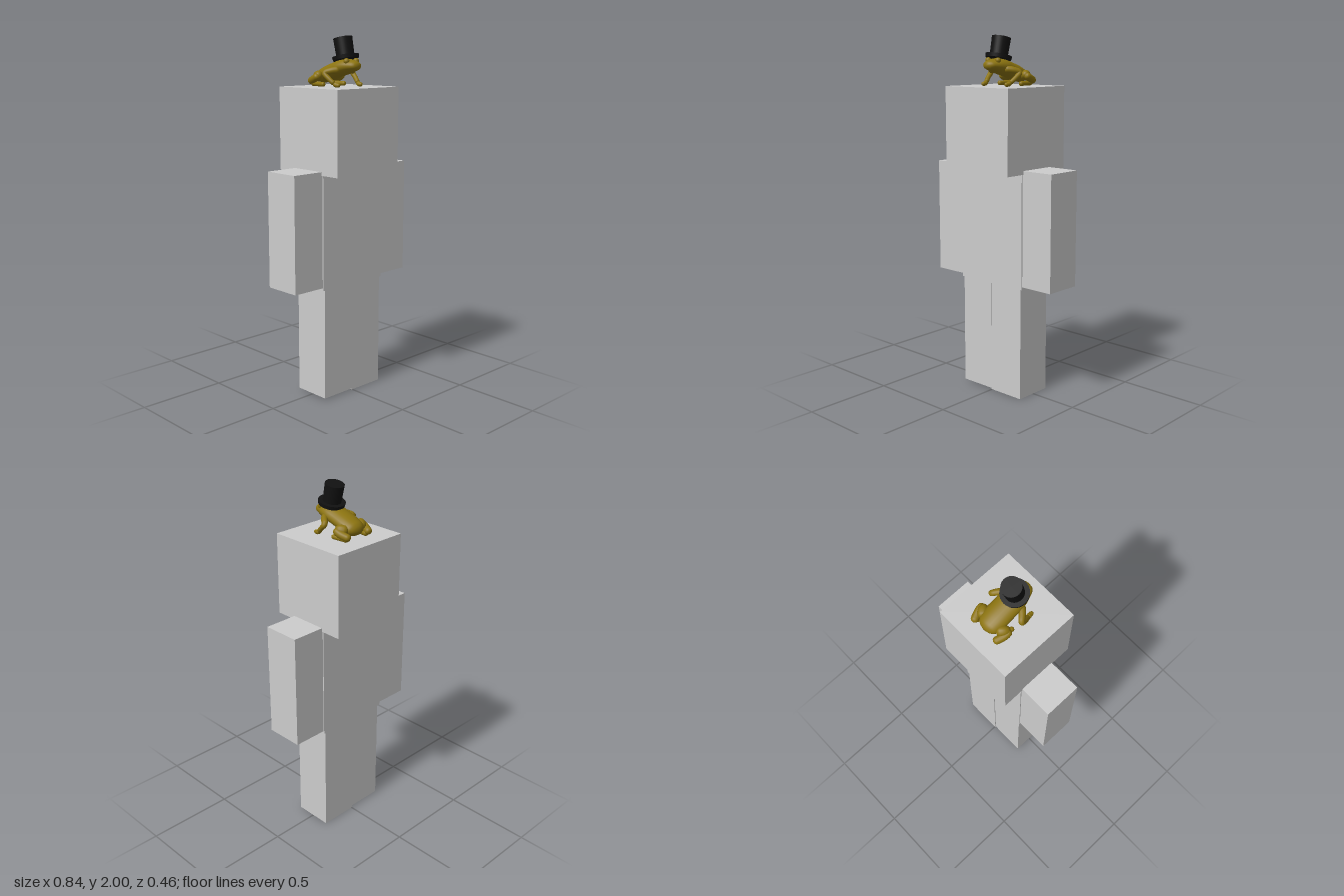
import * as THREE from 'three';
import { mergeVertices } from 'three/addons/utils/BufferGeometryUtils.js';

const mat = (name, color) => {
  const m = new THREE.MeshStandardMaterial({ color });
  m.name = name;
  return m;
};

// Rounded tapering form along a curve; stations are [x, y, z, radius]
function taper(stations, sides = 16, steps = 32) {
  const path = new THREE.CatmullRomCurve3(stations.map(s => new THREE.Vector3(s[0], s[1], s[2])));
  const radii = new THREE.SplineCurve(stations.map((s, i) => new THREE.Vector2(i, s[3])));
  const length = path.getLength();
  const geo = new THREE.TubeGeometry(path, steps, 1, sides);
  const pos = geo.attributes.position, nor = geo.attributes.normal;
  for (let i = 0; i <= steps; i++) {
    const u = i / steps, c = path.getPointAt(u);
    const r0 = radii.getPoint(path.getUtoTmapping(u)).y;
    const k = Math.max(0, 1 - Math.min(u, 1 - u) * length / r0);
    const r = r0 * Math.sqrt(Math.max(0, 1 - k * k));
    for (let j = 0; j <= sides; j++) {
      const n = i * (sides + 1) + j;
      pos.setXYZ(n, c.x + nor.getX(n) * r, c.y + nor.getY(n) * r, c.z + nor.getZ(n) * r);
    }
  }
  geo.deleteAttribute('uv');
  geo.deleteAttribute('normal');
  const out = mergeVertices(geo, 1e-6);
  out.computeVertexNormals();
  return out;
}

export function createModel() {
  const grey = mat('light grey', 0xcccccc);
  const olive = mat('olive gold', 0x8c7410);
  const black = mat('black', 0x111111);
  const model = new THREE.Group();

  const add = (parent, name, geo, material) => {
    const mesh = new THREE.Mesh(geo, material);
    mesh.name = name;
    parent.add(mesh);
    return mesh;
  };
  // Box given by its lower and upper corners
  const block = (name, a, b) => {
    const mesh = add(model, name, new THREE.BoxGeometry(b[0] - a[0], b[1] - a[1], b[2] - a[2]), grey);
    mesh.position.set((a[0] + b[0]) / 2, (a[1] + b[1]) / 2, (a[2] + b[2]) / 2);
  };

  // Blocky figure
  block('head', [-0.23, 1.27, -0.23], [0.23, 1.727, 0.23]);
  block('torso', [-0.225, 0.635, -0.112], [0.225, 1.288, 0.114]);
  block('leftArm', [0.215, 0.65, -0.107], [0.422, 1.29, 0.107]);
  block('rightArm', [-0.422, 0.65, -0.107], [-0.215, 1.29, 0.107]);
  block('leftLeg', [-0.005, 0, -0.11], [0.215, 0.645, 0.11]);
  block('rightLeg', [-0.215, 0.008, -0.105], [0, 0.645, 0.112]);

  // Frog sitting on the head
  const frog = new THREE.Group();
  frog.name = 'frog';
  model.add(frog);
  const body = add(frog, 'frogBody', taper([
    [0, 1.838, 0.152, 0.02], [0, 1.84, 0.12, 0.028], [0, 1.839, 0.08, 0.038],
    [0, 1.832, 0.04, 0.043], [0, 1.818, -0.01, 0.043], [0, 1.798, -0.07, 0.043],
    [0, 1.781, -0.12, 0.038], [0, 1.772, -0.152, 0.03],
  ], 24, 40), olive);
  body.scale.x = 1.55;

  for (const [side, s] of [['left', 1], ['right', -1]]) {
    const limb = (name, pts) => add(frog, side + name,
      taper(pts.map(([x, y, z, r]) => [s * x, y, z, r])), olive);
    limb('FrontLeg', [[0.045, 1.82, 0.055, 0.02], [0.08, 1.815, 0.025, 0.018],
      [0.105, 1.802, -0.002, 0.015], [0.1, 1.77, 0.03, 0.013], [0.088, 1.745, 0.058, 0.013]]);
    limb('FrontFoot', [[0.09, 1.748, 0.052, 0.013], [0.086, 1.74, 0.07, 0.013], [0.084, 1.738, 0.094, 0.01]]);
    limb('Thigh', [[0.045, 1.775, -0.115, 0.03], [0.07, 1.785, -0.09, 0.028], [0.092, 1.79, -0.062, 0.02]]);
    limb('Shin', [[0.095, 1.788, -0.062, 0.018], [0.09, 1.77, -0.1, 0.021], [0.07, 1.752, -0.156, 0.02]]);
    limb('HindFoot', [[0.07, 1.745, -0.14, 0.017], [0.075, 1.741, -0.09, 0.013], [0.08, 1.74, -0.03, 0.013]]);
    const eye = add(frog, side + 'Eye', new THREE.SphereGeometry(0.016, 16, 12), olive);
    eye.position.set(s * 0.036, 1.866, 0.095);
  }

  // Top hat, tipped backwards
  const hat = new THREE.Group();
  hat.name = 'topHat';
  hat.position.set(0, 1.876, 0.054);
  hat.rotation.x = -0.22;
  model.add(hat);
  add(hat, 'hatBrim', new THREE.CylinderGeometry(0.073, 0.07, 0.02, 32), black).position.y = 0.008;
  add(hat, 'hatCrown', new THREE.CylinderGeometry(0.052, 0.049, 0.106, 32), black).position.y = 0.0625;

  return model;
}
